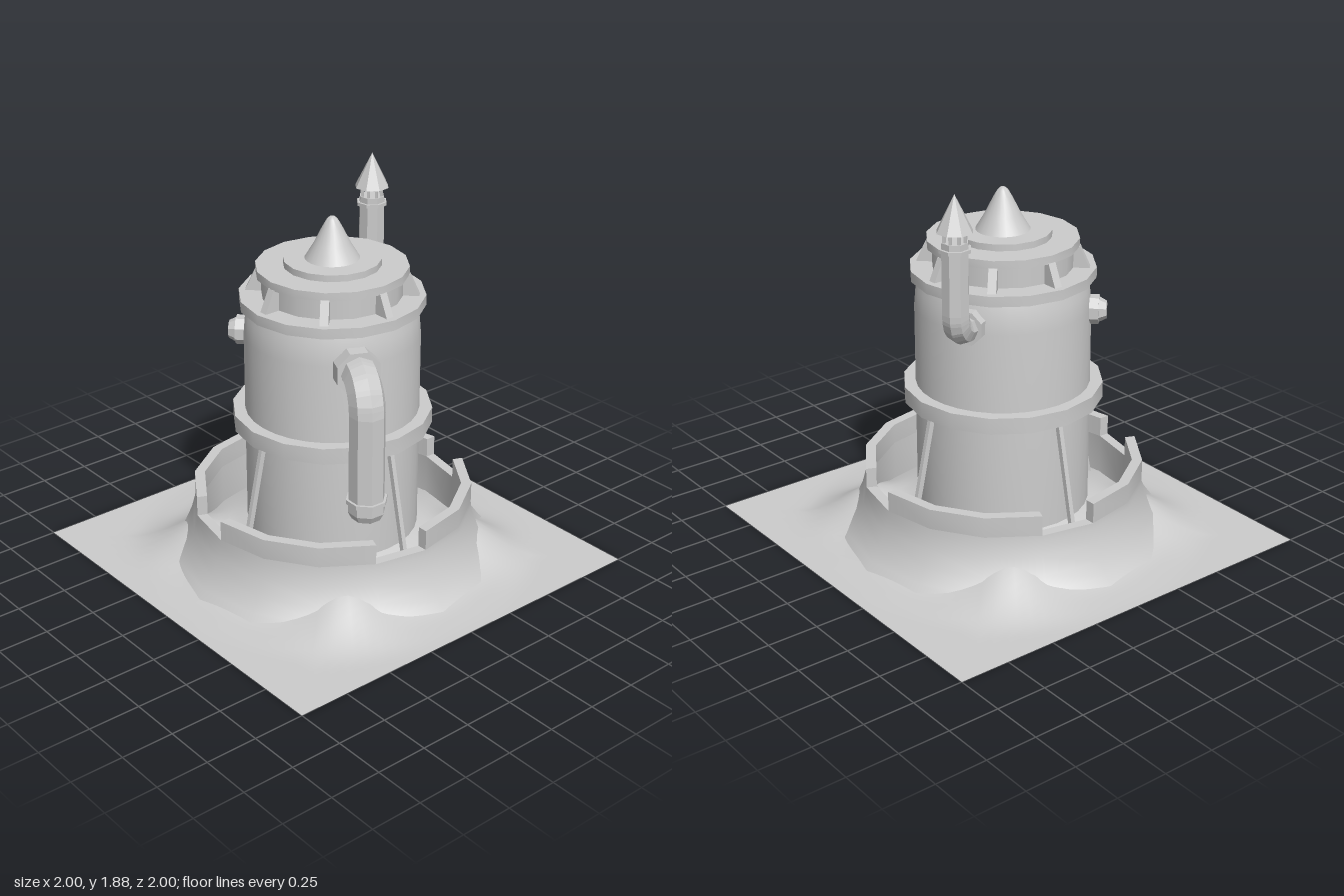
import * as THREE from 'three';
import { toCreasedNormals } from 'three/addons/utils/BufferGeometryUtils.js';

const DEG = Math.PI / 180;
const smooth = new THREE.MeshStandardMaterial({ color: 0xcccccc, side: THREE.DoubleSide });
const flat = new THREE.MeshStandardMaterial({ color: 0xcccccc, flatShading: true, side: THREE.DoubleSide });

const add = (parent, name, geometry, material = smooth, x = 0, y = 0, z = 0) => {
  const mesh = new THREE.Mesh(geometry, material);
  mesh.name = name;
  mesh.position.set(x, y, z);
  parent.add(mesh);
  return mesh;
};

// Group turned about the tower axis, so that its local +z points outward
const spoke = (parent, name, degrees) => {
  const g = new THREE.Group();
  g.name = name;
  g.rotation.y = degrees * DEG;
  parent.add(g);
  return g;
};

const lathe = (points, sides = 16, start = 0, length = 360) =>
  toCreasedNormals(new THREE.LatheGeometry(
    points.map(([r, y]) => new THREE.Vector2(r, y)), sides, start * DEG, length * DEG), 35 * DEG);

const drum = (r, y0, y1, sides = 8, rTop = r) =>
  new THREE.CylinderGeometry(rTop, r, y1 - y0, sides).translate(0, (y0 + y1) / 2, 0);

// Octagonal disc lying along local z
const flange = (r, z0, z1, y, rOut = r) =>
  drum(r, z0, z1, 8, rOut).rotateX(Math.PI / 2).rotateZ(22.5 * DEG).translate(0, y, 0);

// Octagonal bent pipe: straight out at y0, quarter bend, then to y1
function bentPipe(r, z0, z1, y0, y1, bend) {
  const dir = Math.sign(y1 - y0);
  const pts = [new THREE.Vector3(0, y0, z0)];
  for (let i = 0; i <= 4; i++) {
    const a = i / 4 * Math.PI / 2;
    pts.push(new THREE.Vector3(0, y0 + dir * bend * (1 - Math.cos(a)), z1 - bend + bend * Math.sin(a)));
  }
  pts.push(new THREE.Vector3(0, y1, z1));
  const path = new THREE.CurvePath();
  for (let i = 1; i < pts.length; i++) path.add(new THREE.LineCurve3(pts[i - 1], pts[i]));
  return new THREE.TubeGeometry(path, 30, r, 8);
}

// Square terrain: a low mound inside the rampart, bumps against the hill, flat at the border
function groundGeometry() {
  const A = 96, R = 20, pos = [], index = [];
  const step = THREE.MathUtils.smoothstep;
  const bumps = [[55, 0.1], [137, 0.1], [235, 0.1], [322, 0.085]];
  for (let j = 0; j <= R; j++) {
    for (let i = 0; i <= A; i++) {
      const deg = i / A * 360, s = Math.sin(deg * DEG), c = Math.cos(deg * DEG);
      const edge = 1 / Math.max(Math.abs(s), Math.abs(c));
      const r = 0.36 + (edge - 0.36) * j / R;
      let h = 0.02;
      for (const [a, height] of bumps) {
        const d = ((deg - a + 540) % 360) - 180;
        h += height * Math.exp(-((d / 15) ** 2));
      }
      h *= step(r, 0.45, 0.68) * (1 - step(r, 0.7, Math.min(1.02, edge)));
      pos.push(r * s, h + 0.2 * (1 - step(r, 0.3, 0.85)), r * c);
      if (i < A && j < R) {
        const a = j * (A + 1) + i, b = a + A + 1;
        index.push(a, b, a + 1, b, b + 1, a + 1);
      }
    }
  }
  const g = new THREE.BufferGeometry();
  g.setAttribute('position', new THREE.Float32BufferAttribute(pos, 3));
  g.setIndex(index);
  g.computeVertexNormals();
  return g;
}

export function createModel() {
  const model = new THREE.Group();
  model.name = 'industrialTower';

  // Ground and hollow hill
  add(model, 'ground', groundGeometry());
  add(model, 'hill', lathe([[0.83, 0], [0.78, 0.05], [0.737, 0.11], [0.702, 0.19], [0.683, 0.26], [0.68, 0.29],
    [0.63, 0.29], [0.63, 0.09]]));

  // Rampart walls with a notch beside each main direction
  for (let k = 0; k < 4; k++) {
    const g = spoke(model, 'rampart', k * 90);
    add(g, 'rampartWall', lathe([[0.68, 0.29], [0.68, 0.39], [0.63, 0.39], [0.63, 0.29]], 3, 0, 67.5));
    for (const end of [0, 67.5]) {
      const cap = spoke(g, 'rampartEnd', end);
      add(cap, 'rampartEndFace', new THREE.PlaneGeometry(0.05, 0.1).rotateY(Math.PI / 2), smooth, 0, 0.34, 0.655);
    }
  }

  // Tower body, bands and roof
  add(model, 'towerBody', lathe([[0, 0.11], [0.418, 0.11], [0.418, 1.18], [0.41, 1.27], [0.39, 1.34]], 32));
  const ring = (r0, r1, y0, y1) => lathe([[r0, y0], [r1, y0], [r1, y1], [r0, y1]]);
  add(model, 'middleBand', ring(0.39, 0.48, 0.715, 0.795));
  add(model, 'upperBand', ring(0, 0.44, 1.325, 1.375));
  add(model, 'lanternCore', drum(0.335, 1.37, 1.49, 16));
  add(model, 'roofRing', ring(0, 0.36, 1.475, 1.515));
  add(model, 'roofDisc', drum(0.23, 1.515, 1.547, 16));
  add(model, 'roofCone', lathe([[0.13, 1.545], [0.085, 1.62], [0.045, 1.7], [0.025, 1.735], [0.012, 1.747], [0, 1.75]], 24));

  // Lantern fins
  const finShape = new THREE.Shape([[0.3, 1.37], [0.41, 1.37], [0.36, 1.48], [0.3, 1.48]]
    .map(([z, y]) => new THREE.Vector2(z, y)));
  const finGeo = new THREE.ExtrudeGeometry(finShape, { depth: 0.04, bevelEnabled: false })
    .translate(0, 0, -0.02).rotateY(-Math.PI / 2);
  for (let k = 0; k < 8; k++) add(spoke(model, 'fin', k * 45), 'lanternFin', finGeo);

  // Slanted struts
  for (let k = 0; k < 4; k++) {
    const strut = add(spoke(model, 'strut', k * 90), 'slantedStrut',
      new THREE.BoxGeometry(0.022, 0.66, 0.025), smooth, 0, 0.42, 0.484);
    strut.rotation.x = -0.215;
  }

  // Large downward pipe
  const pipe = spoke(model, 'downPipe', 65);
  add(pipe, 'pipeCollar', flange(0.11, 0.395, 0.475, 1.165), flat);
  add(pipe, 'pipeElbow', bentPipe(0.085, 0.4, 0.613, 1.165, 0.6, 0.13), flat);
  add(pipe, 'pipeRing', drum(0.098, 0.59, 0.61), flat, 0, 0, 0.613);
  add(pipe, 'pipeMouth', drum(0.088, 0.545, 0.6), flat, 0, 0, 0.613);
  add(pipe, 'pipeTip', drum(0.07, 0.51, 0.545, 8, 0.088), flat, 0, 0, 0.613);
  add(pipe, 'pipeBracket', new THREE.BoxGeometry(0.04, 0.035, 0.15), smooth, 0, 0.67, 0.48);

  // Chimney
  const chimney = spoke(model, 'chimney', 210);
  add(chimney, 'chimneyCollar', flange(0.085, 0.39, 0.45, 1.215), flat);
  add(chimney, 'chimneyPipe', bentPipe(0.064, 0.38, 0.555, 1.215, 1.65, 0.1), flat);
  add(chimney, 'chimneyRing', drum(0.076, 1.62, 1.637), flat, 0, 0, 0.555);
  add(chimney, 'chimneyTop', drum(0.062, 1.637, 1.665), flat, 0, 0, 0.555);
  for (let k = 0; k < 8; k++) {
    const a = k * Math.PI / 4;
    add(chimney, 'chimneyPost', new THREE.BoxGeometry(0.012, 0.06, 0.012), smooth,
      0.05 * Math.sin(a), 1.69, 0.555 + 0.05 * Math.cos(a));
  }
  add(chimney, 'chimneyHat', drum(0.085, 1.71, 1.88, 8, 0), flat, 0, 0, 0.555);

  // Side valve
  const valve = spoke(model, 'valve', -45);
  add(valve, 'valveFlange', flange(0.07, 0.4, 0.455, 1.165), flat);
  add(valve, 'valveCap', flange(0.06, 0.455, 0.49, 1.165, 0.042), flat);

  return model;
}
